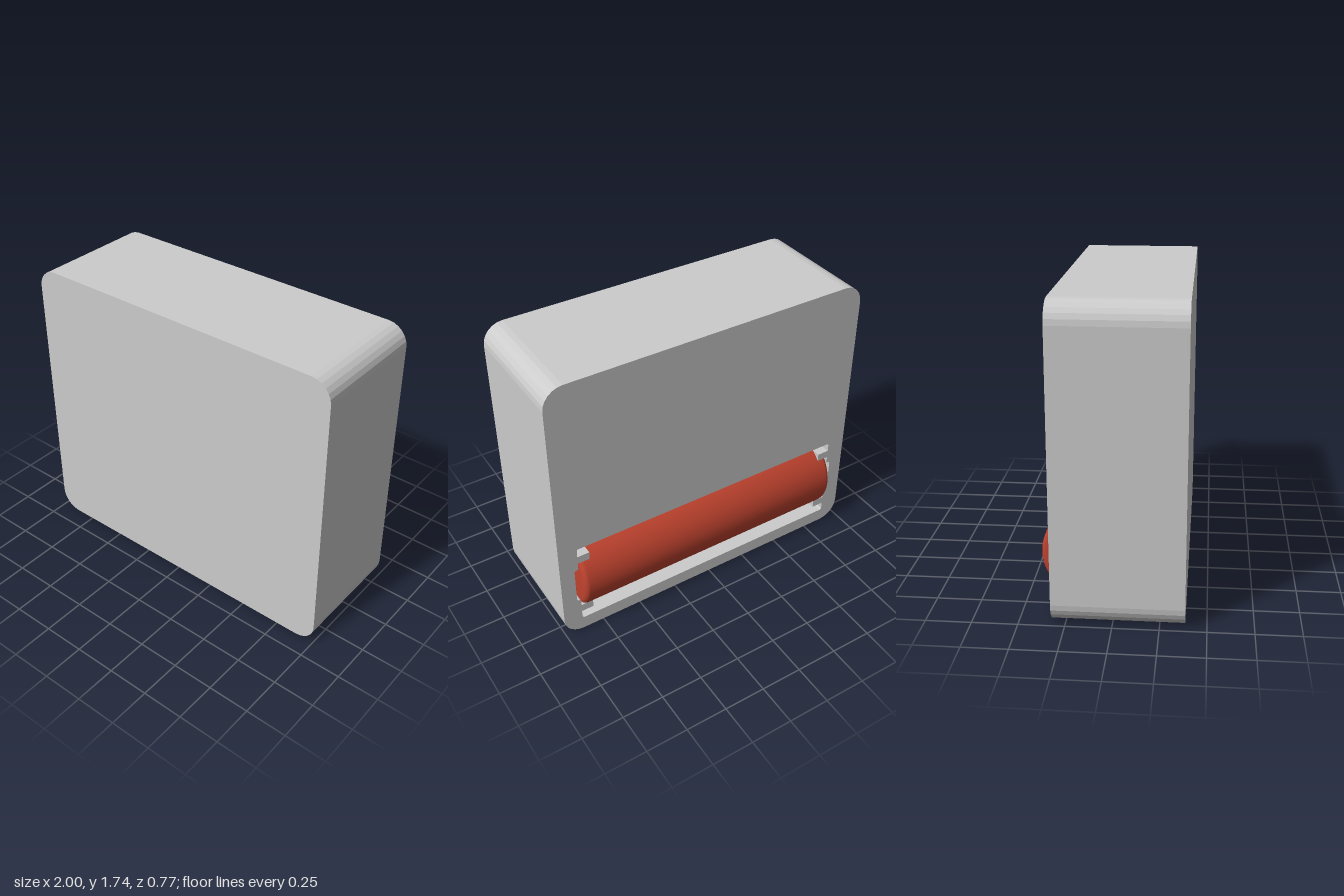
import * as THREE from 'three';
import { toCreasedNormals } from 'three/addons/utils/BufferGeometryUtils.js';

const BACK = -0.325, FRONT = 0.385, HEIGHT = 1.74;
const AXIS_Y = 0.36, AXIS_Z = -0.12; // roller axis
const SLOT_X = 0.885, SLOT_R = 0.275;

// Trace a closed polygon with circular rounded corners.
function rounded(path, pts, r) {
  const v = pts.map(([x, y]) => new THREE.Vector2(x, y));
  v.forEach((p, i) => {
    const toward = (q, d) => q.clone().sub(p).setLength(d).add(p);
    const prev = v[(i + v.length - 1) % v.length], next = v[(i + 1) % v.length];
    const a = toward(prev, r), b = toward(next, r);
    const c1 = toward(prev, r * 0.45), c2 = toward(next, r * 0.45);
    if (i === 0) path.moveTo(a.x, a.y);
    else path.lineTo(a.x, a.y);
    path.bezierCurveTo(c1.x, c1.y, c2.x, c2.y, b.x, b.y);
  });
  path.closePath();
  return path;
}

function casing() {
  return rounded(new THREE.Shape(), [[-1, 0], [1, 0], [1, HEIGHT], [-1, HEIGHT]], 0.12);
}

function slab(shape, z, depth) {
  const g = new THREE.ExtrudeGeometry(shape, { depth, bevelEnabled: false, curveSegments: 6 });
  return g.translate(0, 0, z);
}

export function createModel() {
  const model = new THREE.Group();
  const grey = new THREE.MeshStandardMaterial({ color: 0xcccccc });
  const inner = new THREE.MeshStandardMaterial({ color: 0xcccccc, side: THREE.DoubleSide });
  const red = new THREE.MeshStandardMaterial({ color: 0xc0432f });
  const add = (name, geometry, material) => {
    const mesh = new THREE.Mesh(geometry, material);
    mesh.name = name;
    model.add(mesh);
    return mesh;
  };

  // Casing with the roller slot, widened at mid height for the axle ends
  const body = casing();
  const half = [[SLOT_X, -SLOT_R], [SLOT_X, -0.12], [0.91, -0.12],
    [0.91, 0.12], [SLOT_X, 0.12], [SLOT_X, SLOT_R]];
  const outline = [...half, ...half.map(([x, y]) => [-x, -y])]
    .map(([x, y]) => [x, y + AXIS_Y]);
  body.holes.push(rounded(new THREE.Path(), outline, 0.012));
  add('casing', slab(body, BACK, 0.69), grey);
  add('frontPanel', slab(casing(), BACK + 0.69, FRONT - BACK - 0.69), grey);

  // Curved bottom of the slot
  const trough = new THREE.CylinderGeometry(SLOT_R, SLOT_R, 2 * SLOT_X, 32, 1, true, -Math.PI / 2, Math.PI);
  trough.rotateZ(Math.PI / 2);
  add('trough', trough, inner).position.set(0, AXIS_Y, AXIS_Z);

  // Retaining tabs at the four corners of the roller
  for (const sx of [-1, 1]) {
    for (const sy of [-1, 1]) {
      add('retainingTab', new THREE.BoxGeometry(0.08, 0.05, 0.06), grey)
        .position.set(sx * 0.85, AXIS_Y + sy * 0.193, BACK + 0.03);
    }
  }

  // Roller with rounded rims
  const L = 0.875, R = 0.265, B = 0.03;
  const end = [];
  for (let i = 0; i <= 5; i++) {
    const t = (i / 5) * Math.PI / 2;
    end.push(new THREE.Vector2(R - B + B * Math.cos(t), L - B + B * Math.sin(t)));
  }
  end.push(new THREE.Vector2(0, L));
  const profile = [...end.map(p => new THREE.Vector2(p.x, -p.y)).reverse(), ...end];
  const roller = toCreasedNormals(new THREE.LatheGeometry(profile, 64), 0.5);
  roller.rotateZ(Math.PI / 2);
  add('roller', roller, red).position.set(0, AXIS_Y, AXIS_Z);

  return model;
}
